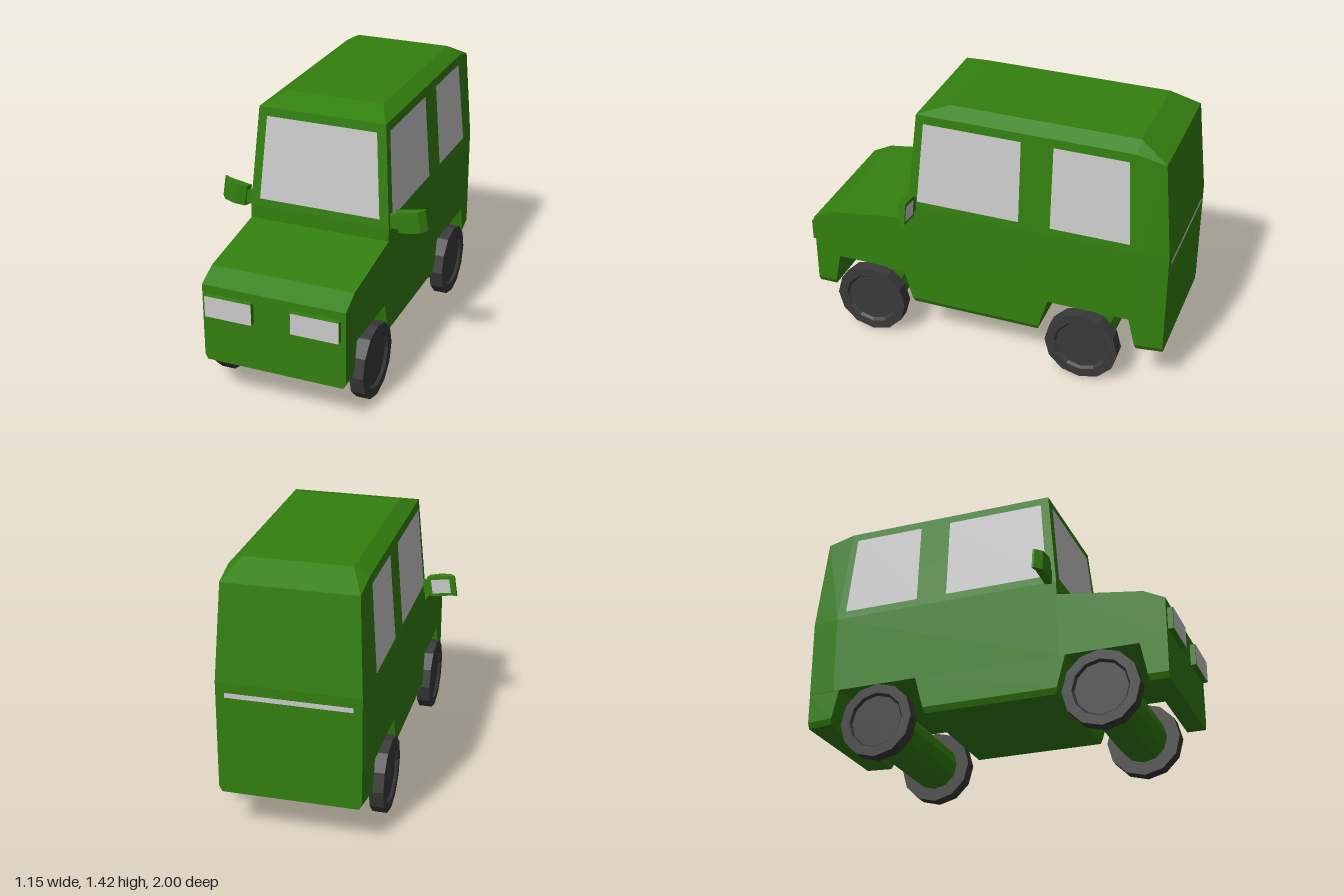
import * as THREE from 'three';
import { ConvexGeometry } from 'three/addons/geometries/ConvexGeometry.js';

const paint = new THREE.MeshStandardMaterial({ color: 0x33800f, flatShading: true });
const rubber = new THREE.MeshStandardMaterial({ color: 0x3a3a3a, flatShading: true });
const glass = new THREE.MeshStandardMaterial({ color: 0xcccccc, side: THREE.DoubleSide });

const BELT = 0.84, EAVE = 1.375, HALF = 0.385;
const lean = (y) => Math.max(0, (y - BELT) / (EAVE - BELT));
const sideX = (y) => HALF - 0.04 * lean(y);          // side wall leans in above the belt line
const screenZ = (y) => 0.405 - 0.05 * lean(y);       // windscreen leans back
const planX = (z) => (z < -0.85 ? HALF - 0.02 * (-0.85 - z) / 0.15 : HALF); // rear corners taper

function part(name, geometry, material) {
  const mesh = new THREE.Mesh(geometry, material);
  mesh.name = name;
  return mesh;
}

// Convex block from half-section points [x, y, z], mirrored across x = 0
function block(name, points) {
  const all = points.flatMap(([x, y, z]) => [new THREE.Vector3(x, y, z), new THREE.Vector3(-x, y, z)]);
  return part(name, new ConvexGeometry(all), paint);
}

// Flat four-cornered panel
function panel(name, corners) {
  const g = new THREE.BufferGeometry();
  g.setAttribute('position', new THREE.Float32BufferAttribute(corners.flat(), 3));
  g.setIndex([0, 1, 2, 0, 2, 3]);
  g.computeVertexNormals();
  return part(name, g, glass);
}

// Lower body piece between wheel arches, with chamfered bottom edges
function skirt(name, y0, bottom, top) {
  const points = [];
  for (const i of [0, 1]) {
    const zMid = bottom[i] + (top[i] - bottom[i]) * 0.15;
    points.push([planX(bottom[i]) - 0.015, y0, bottom[i]]);
    points.push([planX(zMid), y0 + 0.03, zMid]);
    points.push([planX(top[i]), 0.42, top[i]]);
  }
  return block(name, points);
}

function createBody() {
  const body = new THREE.Group();
  body.name = 'body';
  body.add(
    block('cabin', [
      ...[0.42, BELT].flatMap((y) => [0.405, -0.85, -1].map((z) => [planX(z), y, z])),
      [0.345, EAVE, 0.355], [0.345, EAVE, -0.8], [0.34, 1.34, -0.95],
      [0.27, 1.42, 0.2], [0.27, 1.42, -0.8],
    ]),
    block('hood', [[0.97, 0.42], [0.97, 0.645], [0.86, 0.7], [0.405, 0.765], [0.39, 0.42]]
      .map(([z, y]) => [HALF, y, z])),
    skirt('frontSkirt', 0.22, [0.97, 0.87], [0.97, 0.83]),
    skirt('sill', 0.22, [0.39, -0.32], [0.445, -0.375]),
    skirt('rearSkirt', 0.235, [-0.86, -1], [-0.815, -1]),
  );
  return body;
}

function createWindows() {
  const windows = new THREE.Group();
  windows.name = 'windows';
  const lo = 0.88, hi = 1.33, gap = 0.003;
  windows.add(panel('windscreen', [
    [-0.333, lo, screenZ(lo) + gap], [0.333, lo, screenZ(lo) + gap],
    [0.3, hi, screenZ(hi) + gap], [-0.3, hi, screenZ(hi) + gap]]));
  // Side panes: front bottom, rear bottom, rear top, front top
  const panes = { frontWindow: [0.352, -0.21, -0.21, 0.315], rearWindow: [-0.38, -0.8, -0.767, -0.38] };
  for (const s of [1, -1]) {
    for (const [name, z] of Object.entries(panes)) {
      windows.add(panel(name, [lo, lo, hi, hi].map((y, i) => [s * (sideX(y) + gap), y, z[i]])));
    }
  }
  return windows;
}

function createWheel() {
  const profile = [[0, 0.345], [0.2, 0.345], [0.2, 0.42], [0.15, 0.42], [0.138, 0.406], [0, 0.406]]
    .map(([r, x]) => new THREE.Vector2(r, x));
  return part('wheel', new THREE.LatheGeometry(profile, 12).rotateZ(-Math.PI / 2), rubber);
}

function createAxle(z) {
  const axle = new THREE.Group();
  axle.name = z > 0 ? 'frontAxle' : 'rearAxle';
  axle.position.set(0, 0.204, z);
  axle.add(part('axleTube', new THREE.CylinderGeometry(0.13, 0.13, 0.7, 12).rotateZ(Math.PI / 2), paint));
  for (const turn of [0, Math.PI]) {
    const wheel = createWheel();
    wheel.rotation.y = turn;
    axle.add(wheel);
  }
  return axle;
}

function createHeadlight(side) {
  const light = new THREE.Group();
  light.name = 'headlight';
  light.position.set(side * 0.2325, 0.5425, 0.983);
  const lens = part('lens', new THREE.PlaneGeometry(0.255, 0.115), glass);
  lens.position.z = 0.017;
  light.add(part('housing', new THREE.BoxGeometry(0.255, 0.115, 0.03), paint), lens);
  return light;
}

// Door mirror: bowed housing, glass facing back and a short arm to the door
function createMirror(side) {
  const mirror = new THREE.Group();
  mirror.name = 'mirror';
  const plan = new THREE.Shape([[-0.078, -0.015], [0.05, -0.02], [0.078, -0.032], [0.08, -0.02],
    [0.05, 0.016], [-0.01, 0.028], [-0.065, 0.018]].map(([x, z]) => new THREE.Vector2(x, -z)));
  const shell = new THREE.ExtrudeGeometry(plan, { depth: 0.115, bevelEnabled: false })
    .rotateX(-Math.PI / 2).translate(0, -0.0575, 0);
  const head = new THREE.Group();
  head.name = 'mirrorHead';
  head.position.set(0.488, 0.882, 0.371);
  head.rotation.z = 0.15;
  head.add(part('mirrorShell', shell, paint), panel('mirrorGlass', [
    [-0.058, -0.04, -0.019], [0.046, -0.04, -0.023], [0.046, 0.04, -0.023], [-0.058, 0.04, -0.019]]));
  const arm = part('mirrorArm', new THREE.BoxGeometry(0.06, 0.075, 0.025), paint);
  arm.position.set(0.395, 0.868, 0.37);
  mirror.add(head, arm);
  mirror.scale.x = side;
  return mirror;
}

export function createModel() {
  const model = new THREE.Group();
  model.name = 'offRoadCar';
  model.add(createBody(), createWindows(), createAxle(0.635), createAxle(-0.575));
  for (const side of [1, -1]) model.add(createHeadlight(side), createMirror(side));
  // Thin strip across the tailgate
  model.add(panel('tailgateStrip', [
    [0.32, 0.762, -1.002], [-0.32, 0.762, -1.002], [-0.32, 0.788, -1.002], [0.32, 0.788, -1.002]]));
  return model;
}
